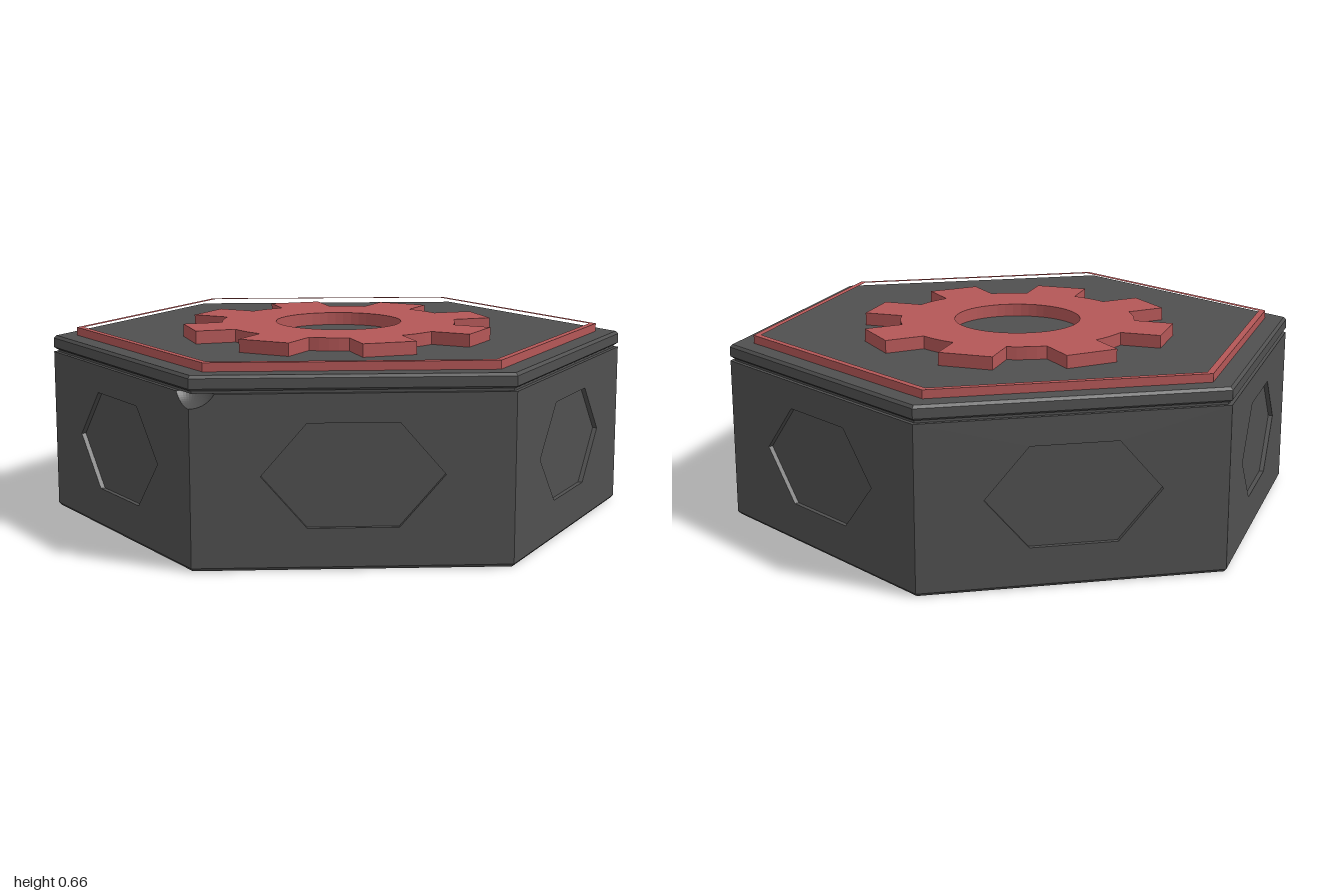
import * as THREE from 'three';

const RAD = Math.PI / 180;
const APOTHEM = Math.cos(30 * RAD);
const BODY_TOP = 0.555, LID_BOTTOM = 0.564, LID_TOP = 0.612;
const NOTCH_Y = 0.6, NOTCH_R = 0.09;   // thumb notch: a sphere on the front corner
const V = (x, y, z) => new THREE.Vector3(x, y, z);

const grey = new THREE.MeshStandardMaterial({ color: 0x505050 });
const red = new THREE.MeshStandardMaterial({ color: 0xb45757 });

function add(parent, name, geometry, material) {
  const mesh = new THREE.Mesh(geometry, material);
  mesh.name = name;
  parent.add(mesh);
  return mesh;
}

// Flat-shaded skin over a stack of rings, with optional fan caps
function loft(rings, { closed = true, capStart = false, capEnd = false } = {}) {
  const points = [];
  const n = rings[0].length;
  for (let r = 0; r + 1 < rings.length; r++) {
    for (let i = 0; i < (closed ? n : n - 1); i++) {
      const j = (i + 1) % n;
      const a = rings[r][i], b = rings[r][j], c = rings[r + 1][j], d = rings[r + 1][i];
      points.push(a, b, c, a, c, d);
    }
  }
  const cap = (ring, flip) => {
    const centre = V(0, 0, 0);
    centre.y = ring.reduce((s, p) => s + p.y, 0) / n;
    centre.z = ring.reduce((s, p) => s + p.z, 0) / n;
    ring.forEach((p, i) => {
      const q = ring[(i + 1) % n];
      points.push(centre, ...(flip ? [q, p] : [p, q]));
    });
  };
  if (capStart) cap(rings[0], true);
  if (capEnd) cap(rings[rings.length - 1], false);
  const geometry = new THREE.BufferGeometry().setFromPoints(points);
  geometry.computeVertexNormals();
  return geometry;
}

// Hexagon with a corner pointing to the front
const hexRing = (y, radius) => Array.from({ length: 6 }, (_, i) =>
  V(radius * Math.sin(i * 60 * RAD), y, radius * Math.cos(i * 60 * RAD)));

const hexPoints = radius => hexRing(0, radius).map(p => new THREE.Vector2(p.x, p.z));

// Concave arc of the notch at a given angle below the sphere's equator
const notchArc = phi => Array.from({ length: 17 }, (_, i) => {
  const a = (-60 + i * 7.5) * RAD;
  const rho = NOTCH_R * Math.cos(phi);
  return V(rho * Math.sin(a), NOTCH_Y + NOTCH_R * Math.sin(phi), 1 - rho * Math.cos(a));
});

// Stretched hexagon of the side panels
const panelRing = z => Array.from({ length: 6 }, (_, i) =>
  V(0.285 * Math.cos(i * 60 * RAD), 0.298 + 0.19 * Math.sin(i * 60 * RAD), z));

// Wall outline; notchSide is -1 or 1 where an upper corner is cut, else 0
function wallGeometry(notchSide) {
  const side = notchSide || 1;
  const outline = [[-0.5, 0.01], [0.5, 0.01]];
  if (notchSide) {
    for (let i = 0; i <= 12; i++) {
      const a = (-90 + i * 5) * RAD;
      outline.push([0.5 - NOTCH_R * Math.cos(a), NOTCH_Y + NOTCH_R * Math.sin(a)]);
    }
  } else {
    outline.push([0.5, BODY_TOP]);
  }
  outline.push([-0.5, BODY_TOP]);
  // the cut meets the corner edge at its lowest point
  const shape = new THREE.Shape(outline.map(([x, y]) => new THREE.Vector2(side * x, y)));
  shape.holes.push(new THREE.Path(panelRing(0).map(p => new THREE.Vector2(p.x, p.y))));
  return new THREE.ShapeGeometry(shape);
}

// Gear outline: eight square teeth on a round rim, with a round hole
function gearShape() {
  const root = 0.41, tip = 0.538, half = 0.093;
  const spread = Math.asin(half / root);
  const shape = new THREE.Shape();
  for (let k = 0; k < 8; k++) {
    const a = k * 45 * RAD;
    const c = Math.cos(a), s = Math.sin(a);
    const corner = v => [tip * c - v * s, tip * s + v * c];
    const start = [root * Math.cos(a - spread), root * Math.sin(a - spread)];
    if (k === 0) shape.moveTo(...start);
    else shape.lineTo(...start);
    shape.lineTo(...corner(-half));
    shape.lineTo(...corner(half));
    for (let i = 0; i <= 4; i++) {
      const t = a + spread + (45 * RAD - 2 * spread) * i / 4;
      if (k < 7 || i < 4) shape.lineTo(root * Math.cos(t), root * Math.sin(t));
    }
  }
  shape.holes.push(new THREE.Path().absarc(0, 0, 0.22, 0, Math.PI * 2, true));
  return shape;
}

// Extrude a flat shape upwards from the lid
function raised(shape, top) {
  return new THREE.ExtrudeGeometry(shape, { depth: top - LID_TOP + 0.002, bevelEnabled: false, curveSegments: 24 })
    .rotateX(-Math.PI / 2)
    .translate(0, LID_TOP - 0.002, 0);
}

export function createModel() {
  const model = new THREE.Group();
  model.name = 'hexagonalBox';

  // Box body: chamfered base, six walls with sunken panels, top shelf
  const body = new THREE.Group();
  body.name = 'body';
  model.add(body);
  add(body, 'base', loft([hexRing(0, 0.99), hexRing(0.01, 1)], { capStart: true }), grey);
  for (let k = 0; k < 6; k++) {
    const side = new THREE.Group();
    side.name = 'side';
    side.rotation.y = (30 + 60 * k) * RAD;
    body.add(side);
    const wall = add(side, 'wall', wallGeometry(k === 0 ? -1 : k === 5 ? 1 : 0), grey);
    const panel = add(side, 'sunkenPanel', loft([panelRing(0), panelRing(-0.015)], { capEnd: true }), grey);
    for (const part of [wall, panel]) part.translateZ(APOTHEM);
  }
  const shelf = [...notchArc(-30 * RAD), ...hexRing(BODY_TOP, 1).slice(1)];
  add(body, 'shelf', loft([shelf], { capEnd: true }), grey);

  // Thumb notch in the front corner
  const arcs = Array.from({ length: 13 }, (_, i) => notchArc((-90 + i * 5) * RAD));
  add(body, 'thumbNotch', loft(arcs, { closed: false }), grey);

  // Lid with chamfered rims above a narrow groove
  add(model, 'lidGroove', loft([hexRing(BODY_TOP, 0.985), hexRing(LID_BOTTOM, 0.985)]), grey);
  add(model, 'lid', loft([
    hexRing(LID_BOTTOM, 0.99), hexRing(0.571, 1), hexRing(0.603, 1), hexRing(LID_TOP, 0.99),
  ], { capStart: true, capEnd: true }), grey);

  // Raised border and gear emblem on the lid
  const border = new THREE.Shape(hexPoints(0.918));
  border.holes.push(new THREE.Path(hexPoints(0.893)));
  add(model, 'border', raised(border, 0.64), red);
  add(model, 'gear', raised(gearShape(), 0.656), red);

  return model;
}
